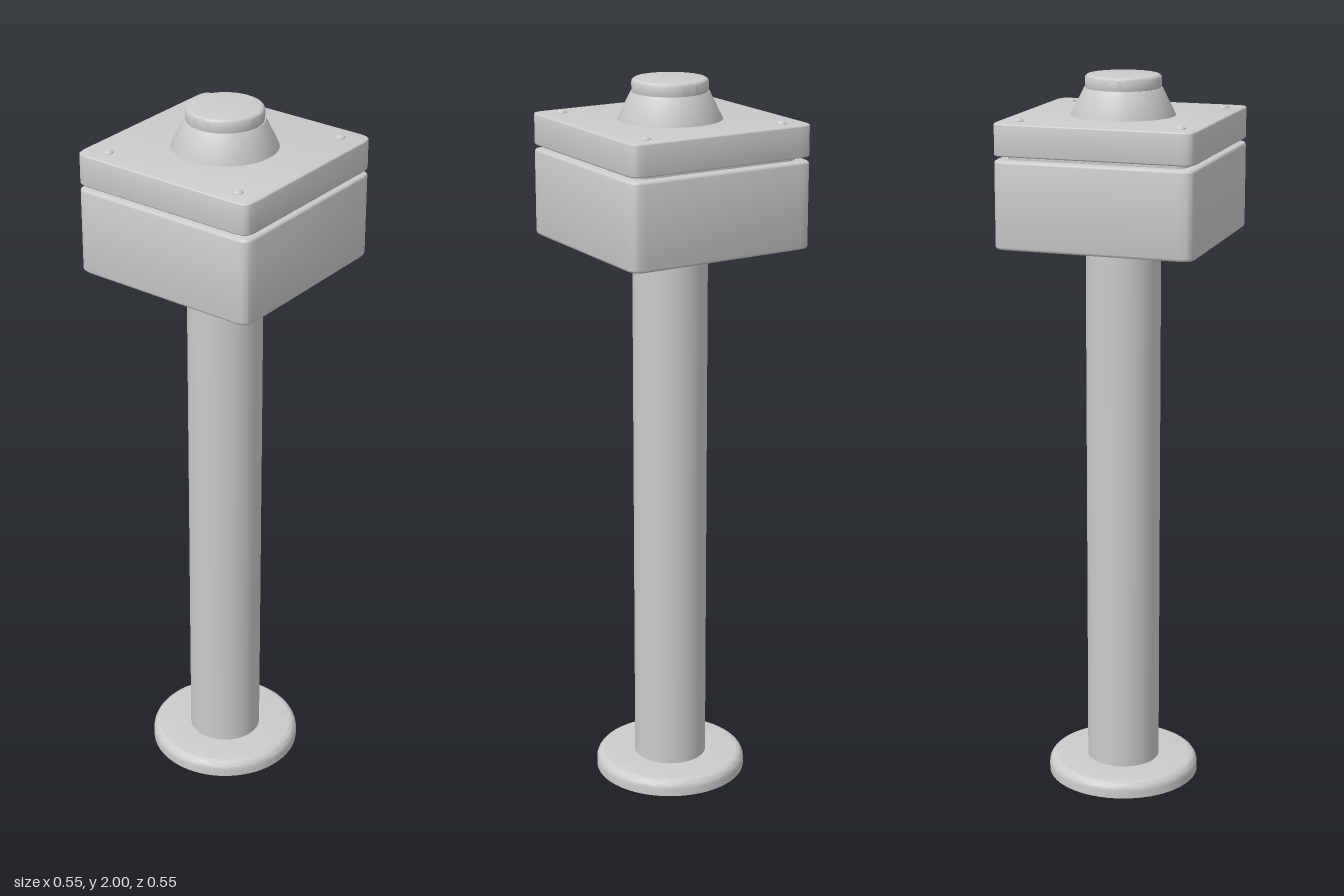
import * as THREE from 'three';
import { toCreasedNormals } from 'three/addons/utils/BufferGeometryUtils.js';

const material = new THREE.MeshStandardMaterial({ color: 0xcccccc });
const openMaterial = new THREE.MeshStandardMaterial({ color: 0xcccccc, side: THREE.DoubleSide });

// Square outline with softly drawn-in corners
function outline(half) {
  const c = half - 0.038, e = half - 0.004;
  const s = new THREE.Shape();
  for (let i = 0; i < 4; i++) {
    const a = i * Math.PI / 2, cos = Math.cos(a), sin = Math.sin(a);
    const p = (x, y) => [x * cos - y * sin, x * sin + y * cos];
    if (i === 0) s.moveTo(...p(half, -c));
    s.lineTo(...p(half, c));
    s.bezierCurveTo(...p(e, half - 0.006), ...p(half - 0.006, e), ...p(c, half));
  }
  return s;
}

// Square block from y0 to y1 with a small bevel on its rims
function block(half, y0, y1, bevel) {
  const g = new THREE.ExtrudeGeometry(outline(half), {
    depth: y1 - y0 - 2 * bevel, curveSegments: 8,
    bevelEnabled: true, bevelThickness: bevel, bevelSize: bevel,
    bevelOffset: -bevel, bevelSegments: 3,
  });
  g.rotateX(-Math.PI / 2);
  g.translate(0, y0 + bevel, 0);
  return toCreasedNormals(g, 0.6);
}

function lathe(points) {
  const g = new THREE.LatheGeometry(points.map(p => new THREE.Vector2(...p)), 64);
  return toCreasedNormals(g, 0.6);
}

export function createModel() {
  const model = new THREE.Group();
  const add = (name, geometry, mat = material) => {
    const mesh = new THREE.Mesh(geometry, mat);
    mesh.name = name;
    model.add(mesh);
    return mesh;
  };

  // Hollow foot flange with a rounded upper rim
  const flange = [[0.213, 0], [0.213, 0.02]];
  for (let i = 1; i <= 6; i++) {
    const a = i / 6 * Math.PI / 2;
    flange.push([0.19 + 0.023 * Math.cos(a), 0.02 + 0.026 * Math.sin(a)]);
  }
  flange.push([0.102, 0.046]);
  add('footFlange', lathe(flange), openMaterial);

  // Open tubular post
  const post = new THREE.CylinderGeometry(0.102, 0.102, 1.525, 64, 1, true);
  post.translate(0, 0.04 + 1.525 / 2, 0);
  add('post', post, openMaterial);

  // Housing, recessed seam and lid
  add('housing', block(0.273, 1.562, 1.797, 0.008));
  add('seam', block(0.245, 1.785, 1.82, 0.002));
  add('lid', block(0.273, 1.808, 1.893, 0.004));

  // Conical collar
  add('collar', lathe([[0.14, 1.89], [0.14, 1.893], [0.106, 1.962], [0.104, 1.965], [0.09, 1.965]]));

  // Push button with rounded top edge
  const button = [[0.098, 1.955], [0.102, 1.968], [0.102, 1.99]];
  for (let i = 1; i <= 5; i++) {
    const a = i / 5 * Math.PI / 2;
    button.push([0.092 + 0.01 * Math.cos(a), 1.99 + 0.01 * Math.sin(a)]);
  }
  button.push([0, 2]);
  add('button', lathe(button));

  // Domed lid screws
  const screw = new THREE.SphereGeometry(0.0135, 20, 6, 0, Math.PI * 2, 0, Math.PI / 2);
  screw.scale(1, 0.55, 1);
  for (const x of [-0.206, 0.206]) {
    for (const z of [-0.22, 0.22]) add('lidScrew', screw).position.set(x, 1.893, z);
  }

  return model;
}
